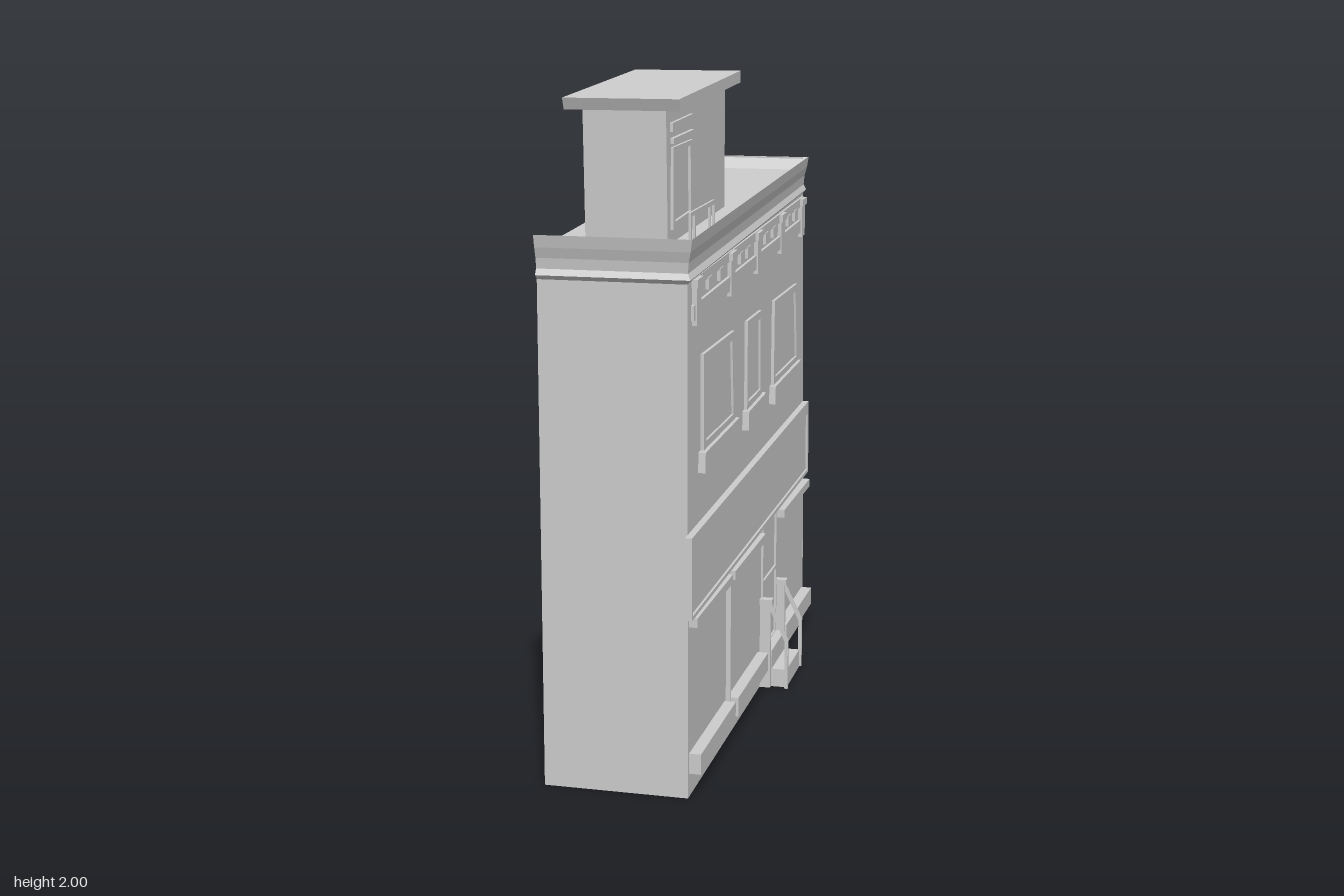
import * as THREE from 'three';

const material = new THREE.MeshStandardMaterial({ color: 0xcccccc, flatShading: true, side: THREE.DoubleSide });
const WALL = 0.165; // street wall plane, facing +x
const BACK = -0.26; // open rear edge

export function createModel() {
  const model = new THREE.Group();
  const add = (name, geometry, parent = model) => {
    const mesh = new THREE.Mesh(geometry, material);
    mesh.name = name;
    parent.add(mesh);
    return mesh;
  };
  const group = (name) => {
    const g = new THREE.Group();
    g.name = name;
    model.add(g);
    return g;
  };

  // Outline in [z, y], extruded along x from x0 to x1
  const toPoints = (outline) => outline.map(([z, y]) => new THREE.Vector2(-z, y));
  const slab = (name, outline, x0, x1, parent, hole) => {
    const shape = new THREE.Shape(toPoints(outline));
    if (hole) shape.holes.push(new THREE.Path(toPoints(hole)));
    const geometry = new THREE.ExtrudeGeometry(shape, { depth: x1 - x0, bevelEnabled: false });
    geometry.rotateY(Math.PI / 2).translate(x0, 0, 0);
    return add(name, geometry, parent);
  };
  const rect = (z0, z1, y0, y1) => [[z0, y0], [z1, y0], [z1, y1], [z0, y1]];

  // Grid surface skinned through rows of [x, y, z] points
  const skin = (name, rows, parent) => {
    const n = rows[0].length, index = [];
    for (let r = 0; r < rows.length - 1; r++)
      for (let i = 0; i < n - 1; i++) {
        const a = r * n + i, b = a + n;
        index.push(a, b, a + 1, b, b + 1, a + 1);
      }
    const g = new THREE.BufferGeometry();
    g.setAttribute('position', new THREE.Float32BufferAttribute(rows.flat(2), 3));
    g.setIndex(index);
    const flat = g.toNonIndexed();
    flat.computeVertexNormals();
    return add(name, flat, parent);
  };

  // Thin shell: street wall, two end walls, sloping roof; the rear is open
  const foot = 0.83, farFoot = -0.86, farTop = -0.78;
  skin('streetWall', [
    [[WALL, 0, foot], [WALL, 1.56, foot]],
    [[WALL, 0, farFoot], [WALL, 1.64, farTop]],
  ]);
  skin('nearEndWall', [
    [[BACK, 0, foot], [BACK, 1.55, foot]],
    [[WALL, 0, foot], [WALL, 1.55, foot]],
  ]);
  skin('farEndWall', [
    [[WALL, 0, farFoot], [WALL, 1.67, farTop]],
    [[BACK, 0, farFoot], [BACK, 1.67, farTop]],
  ]);
  skin('roof', [
    [[BACK + 0.01, 1.555, foot], [WALL, 1.555, foot]],
    [[BACK + 0.01, 1.63, -0.75], [WALL, 1.63, -0.75]],
  ]);
  skin('farParapet', [
    [[BACK + 0.01, 1.63, -0.75], [WALL, 1.63, -0.75]],
    [[BACK, 1.67, farTop - 0.005], [WALL + 0.015, 1.67, farTop - 0.005]],
  ]);

  // Cornice: one moulding wrapped round the near end and the street side
  const moulding = [[0, 1.47], [0.012, 1.483], [0.003, 1.5], [0.006, 1.53], [0.014, 1.56], [0.02, 1.595], [0, 1.565]];
  skin('cornice', [
    moulding.map(([d, y]) => [BACK, y, foot + d * 1.3]),
    moulding.map(([d, y]) => [WALL + d, y, foot + d * 1.3]),
    moulding.map(([d, y]) => [WALL + d, y + 0.078, farTop]),
  ]);

  // Frieze below the cornice, rising gently towards the far end
  const frieze = group('frieze');
  const rise = (z) => (0.75 - z) * 0.039;
  const sloped = (z0, z1, y0, y1) => [
    [z0, y0 + rise(z0)], [z1, y0 + rise(z1)], [z1, y1 + rise(z1)], [z0, y1 + rise(z0)],
  ];
  slab('friezeRail', sloped(0.79, -0.775, 1.365, 1.408), WALL, 0.174, frieze);
  slab('dentilStrip', sloped(0.77, -0.76, 1.452, 1.48), WALL, 0.172, frieze);
  for (const z of [0.6, 0.465, 0.2, 0.1, -0.157, -0.273, -0.507, -0.618])
    slab('dentil', sloped(z + 0.021, z - 0.021, 1.42, 1.455), WALL, 0.175, frieze);
  for (const z of [0.75, 0.33, -0.03, -0.39, -0.73]) {
    slab('bracket', sloped(z + 0.026, z - 0.026, 1.35, 1.46), WALL, 0.178, frieze);
    slab('bracketCap', sloped(z + 0.033, z - 0.033, 1.455, 1.478), WALL, 0.183, frieze);
  }

  // Upper windows: [near edge, far edge top, far edge bottom, near bottom]
  const windows = group('upperWindows');
  [
    [0.68, 0.3, 0.28, 0.68, 0.71, 0.27],
    [0.12, -0.08, -0.09, 0.125, 0.15, -0.11],
    [-0.28, -0.65, -0.68, -0.27, -0.245, -0.685],
  ].forEach(([a, b, c, d, sillA, sillB], i) => {
    const w = i === 1 ? 0.02 : 0.03;
    const inner = [[d - w, 1.0], [c + w, 1.005], [b + w, 1.23], [a - w, 1.228]];
    slab('windowFrame', [[d, 0.975], [c, 0.98], [b, 1.255], [a, 1.253]], WALL, 0.175, windows, inner);
    slab('windowPane', inner, WALL, 0.168, windows);
    slab('windowSill', [[sillA, 0.92], [sillB, 0.923], [sillB + 0.005, 0.988], [sillA - 0.005, 0.978]], WALL, 0.186, windows);
  });

  // Sign band across the street side
  const band = group('signBand');
  const bandOutline = [[0.86, 0.535], [-0.83, 0.557], [-0.82, 0.813], [0.86, 0.772]];
  const bandInner = [[0.85, 0.547], [-0.818, 0.569], [-0.81, 0.77], [0.85, 0.735]];
  slab('bandFrame', bandOutline, WALL, 0.185, band, bandInner);
  slab('bandPanel', bandInner, WALL, 0.178, band);

  // Shop front: rails over and under each bay, thin mullion between bays
  const shop = group('shopFront');
  for (const [a, b] of [[0.818, 0.378], [0.343, -0.092], [-0.39, -0.83]]) {
    slab('upperShopRail', rect(a, b, 0.503, 0.53), WALL, 0.19, shop);
    slab('lowerShopRail', rect(a, b, 0.07, 0.13), WALL, 0.2, shop);
  }
  slab('mullion', rect(0.362, 0.358, 0.07, 0.53), WALL, 0.18, shop);

  // Door, steps and a railing on each side
  const entrance = group('entrance');
  slab('doorFrame', rect(-0.138, -0.352, 0.12, 0.547), WALL, 0.172, entrance, rect(-0.146, -0.344, 0.125, 0.54));
  slab('doorRail', rect(-0.146, -0.344, 0.34, 0.352), WALL, 0.172, entrance);
  slab('upperStep', rect(-0.14, -0.352, 0, 0.122), WALL, 0.202, entrance);
  slab('lowerStep', rect(-0.14, -0.352, 0, 0.06), WALL, 0.252, entrance);
  for (const side of [1, -1]) {
    const z = -0.246 + side * 0.115;
    slab('railPost', rect(z - 0.007, z + 0.007, 0, 0.29), WALL, 0.2, entrance);
    slab('postCap', rect(z - 0.014, z + 0.014, 0.282, 0.3), WALL, 0.206, entrance);
    // Bent flat handrail, drawn in x, y
    const bar = new THREE.Shape([
      [0.198, 0.29], [0.258, 0.165], [0.258, 0], [0.247, 0], [0.247, 0.16], [0.198, 0.265],
    ].map(([x, y]) => new THREE.Vector2(x, y)));
    const g = new THREE.ExtrudeGeometry(bar, { depth: 0.01, bevelEnabled: false }).translate(0, 0, z - 0.005);
    add('handrail', g, entrance);
  }

  // Rooftop room: three thin walls and an overhanging sloped lid, open at the rear
  const room = group('rooftopRoom');
  const rx0 = -0.15, rx1 = 0.085;
  skin('roomWalls', [
    [[rx0, 1.56, 0.73], [rx0, 1.935, 0.745]],
    [[rx1, 1.56, 0.73], [rx1, 1.935, 0.745]],
    [[rx1, 1.59, 0.05], [rx1, 1.97, 0.05]],
    [[rx0, 1.59, 0.05], [rx0, 1.97, 0.05]],
  ], room);
  slab('roomLid', [[0.755, 1.927], [0.03, 1.965], [0.028, 2.0], [0.77, 1.96]], -0.2, 0.128, room);
  slab('roomWindowFrame', [[0.7, 1.6], [0.475, 1.61], [0.48, 1.83], [0.695, 1.825]], rx1, 0.093, room,
    [[0.675, 1.62], [0.5, 1.63], [0.505, 1.815], [0.67, 1.81]]);
  slab('roomWindowHead', [[0.7, 1.835], [0.47, 1.842], [0.47, 1.858], [0.7, 1.85]], rx1, 0.096, room);
  slab('roomWindowCrown', [[0.705, 1.868], [0.475, 1.878], [0.475, 1.902], [0.705, 1.892]], rx1, 0.094, room);
  // Low balcony rail before the rooftop window
  slab('balconyRail', [[0.73, 1.64], [0.445, 1.645], [0.445, 1.658], [0.73, 1.652]], 0.143, 0.15, room);
  for (const z of [0.725, 0.68, 0.5, 0.45])
    slab('balconyPost', rect(z - 0.005, z + 0.005, 1.56, 1.645), 0.143, 0.15, room);

  return model;
}
